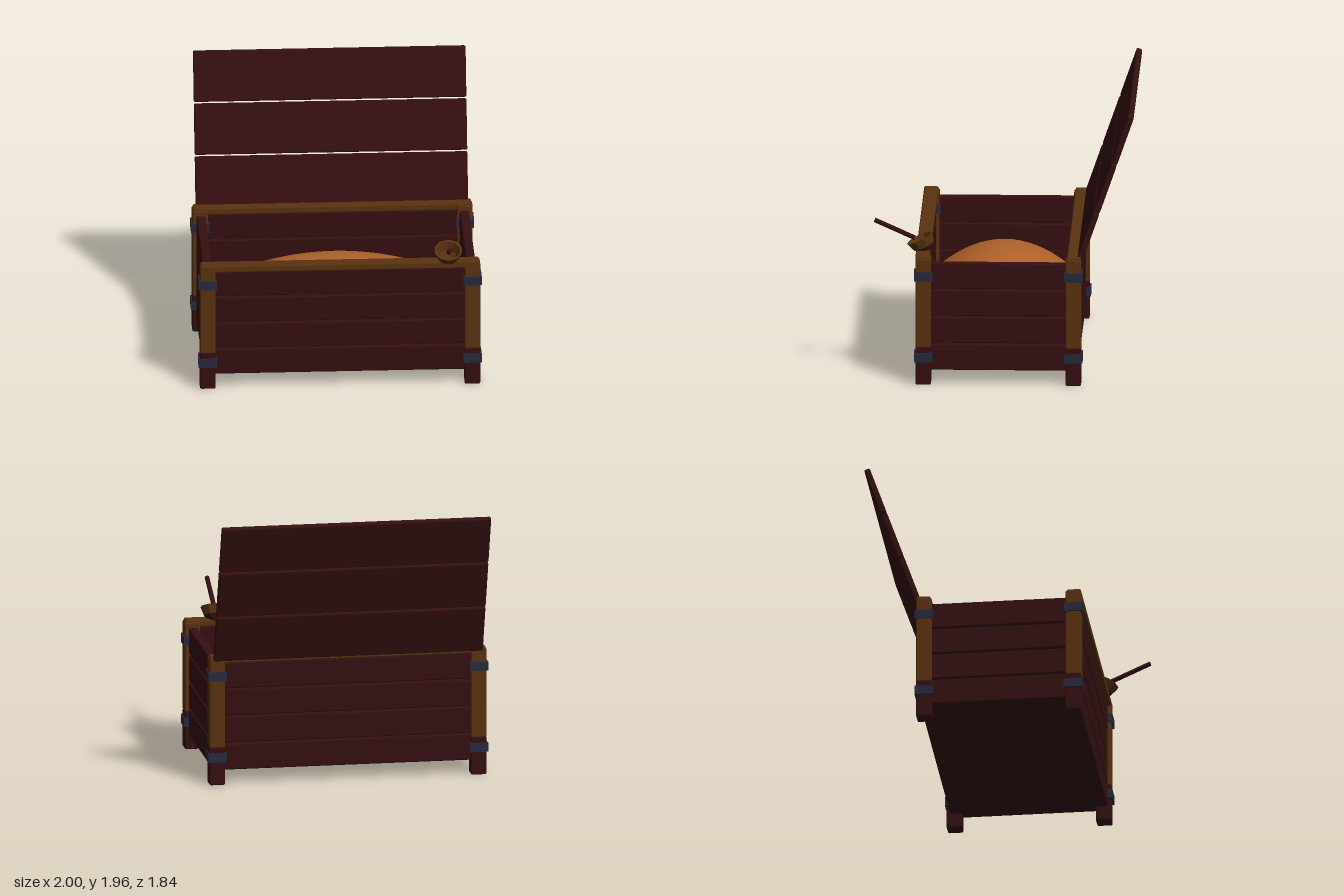
import * as THREE from 'three';
import { RoundedBoxGeometry } from 'three/addons/geometries/RoundedBoxGeometry.js';

const mat = (name, color, side = THREE.FrontSide) => {
  const m = new THREE.MeshStandardMaterial({ color, side });
  m.name = name;
  return m;
};

export function createModel() {
  const darkWood = mat('dark red wood', 0x350f11);
  const brownWood = mat('brown wood', 0x5a3210);
  const iron = mat('blue iron', 0x262a3e);
  const grainMat = mat('orange grain', 0xb3632a, THREE.DoubleSide);
  const bowlDark = mat('bowl dark wood', 0x35140f, THREE.DoubleSide);
  const bowlBrown = mat('bowl brown wood', 0x5a3210, THREE.DoubleSide);
  bowlDark.flatShading = bowlBrown.flatShading = true;

  const model = new THREE.Group();
  model.name = 'storageChest';
  const CZ = 0.035; // depth centre of the box

  const add = (parent, name, geo, material, x = 0, y = 0, z = 0) => {
    const mesh = new THREE.Mesh(geo, material);
    mesh.name = name;
    mesh.position.set(x, y, z);
    parent.add(mesh);
    return mesh;
  };
  // softly bevelled timber
  const beam = (w, h, d, r = 0.01) => new RoundedBoxGeometry(w, h, d, 1, r);

  // corner posts with a dark foot and two iron bands
  for (const sx of [-1, 1]) {
    for (const sz of [-1, 1]) {
      const post = new THREE.Group();
      post.name = 'cornerPost';
      post.position.set(sx * 0.935, 0, CZ + sz * 0.53);
      add(post, 'postFoot', beam(0.11, 0.28, 0.11), darkWood, 0, 0.14, 0);
      add(post, 'postUpper', beam(0.11, 0.65, 0.11), brownWood, 0, 0.595, 0);
      for (const y of [0.2, 0.79]) {
        add(post, 'ironBand', new THREE.BoxGeometry(0.13, 0.065, 0.13), iron, 0, y, 0);
      }
      model.add(post);
    }
  }

  // plank walls
  const walls = new THREE.Group();
  walls.name = 'walls';
  model.add(walls);
  for (let i = 0; i < 4; i++) {
    const y = 0.197 + i * 0.197;
    for (const s of [-1, 1]) {
      add(walls, 'longPlank', beam(1.8, 0.187, 0.06), darkWood, 0, y, CZ + s * 0.53);
      add(walls, 'endPlank', beam(0.065, 0.187, 0.98), darkWood, s * 0.93, y, CZ);
    }
  }
  add(model, 'floor', new THREE.BoxGeometry(1.86, 0.03, 1.06), darkWood, 0, 0.118, CZ);

  // top rails, front and back
  for (const s of [-1, 1]) {
    add(model, 'topRail', beam(1.965, 0.05, 0.1), brownWood, 0, 0.91, CZ + s * 0.535);
  }

  // domed heap of grain
  const heap = new THREE.PlaneGeometry(1.8, 1.0, 28, 18).rotateX(-Math.PI / 2);
  const p = heap.attributes.position;
  for (let i = 0; i < p.count; i++) {
    const u = p.getX(i) / 0.89, v = p.getZ(i) / 0.49;
    p.setY(i, 0.748 - 0.215 * (u * u + v * v));
  }
  heap.computeVertexNormals();
  add(model, 'grainHeap', heap, grainMat, 0, 0, CZ);

  // open lid of three planks leaning backwards
  const lid = new THREE.Group();
  lid.name = 'lid';
  lid.position.set(0, 0.9, -0.535);
  lid.rotation.x = -0.335;
  for (let i = 0; i < 3; i++) {
    add(lid, 'lidPlank', beam(1.925, 0.363, 0.042), darkWood, 0, 0.189 + i * 0.374, 0);
  }
  model.add(lid);

  // scoop resting on the front rail
  const scoop = new THREE.Group();
  scoop.name = 'scoop';
  scoop.position.x = 0.765;
  model.add(scoop);
  const bowl = new THREE.Group();
  bowl.name = 'scoopBowl';
  bowl.position.set(0, 1.015, 0.595);
  bowl.rotation.x = 0.45;
  scoop.add(bowl);
  const lathe = (pts) => new THREE.LatheGeometry(pts.map(([r, y]) => new THREE.Vector2(r, y)), 10);
  add(bowl, 'bowlBase', lathe([[0, -0.11], [0.04, -0.11], [0.078, -0.065]]), bowlDark);
  add(bowl, 'bowlWall', lathe([[0.078, -0.065], [0.1, 0], [0.085, 0], [0.06, -0.06]]), bowlBrown);
  add(bowl, 'bowlInside', lathe([[0.06, -0.06], [0.03, -0.09], [0, -0.09]]), bowlBrown);

  // handle
  const a = new THREE.Vector3(0, 1.015, 0.63), b = new THREE.Vector3(0, 1.143, 0.913);
  const handle = add(scoop, 'scoopHandle', new THREE.CylinderGeometry(0.017, 0.017, a.distanceTo(b), 8), darkWood);
  handle.position.copy(a).lerp(b, 0.5);
  handle.quaternion.setFromUnitVectors(new THREE.Vector3(0, 1, 0), b.sub(a).normalize());

  return model;
}
